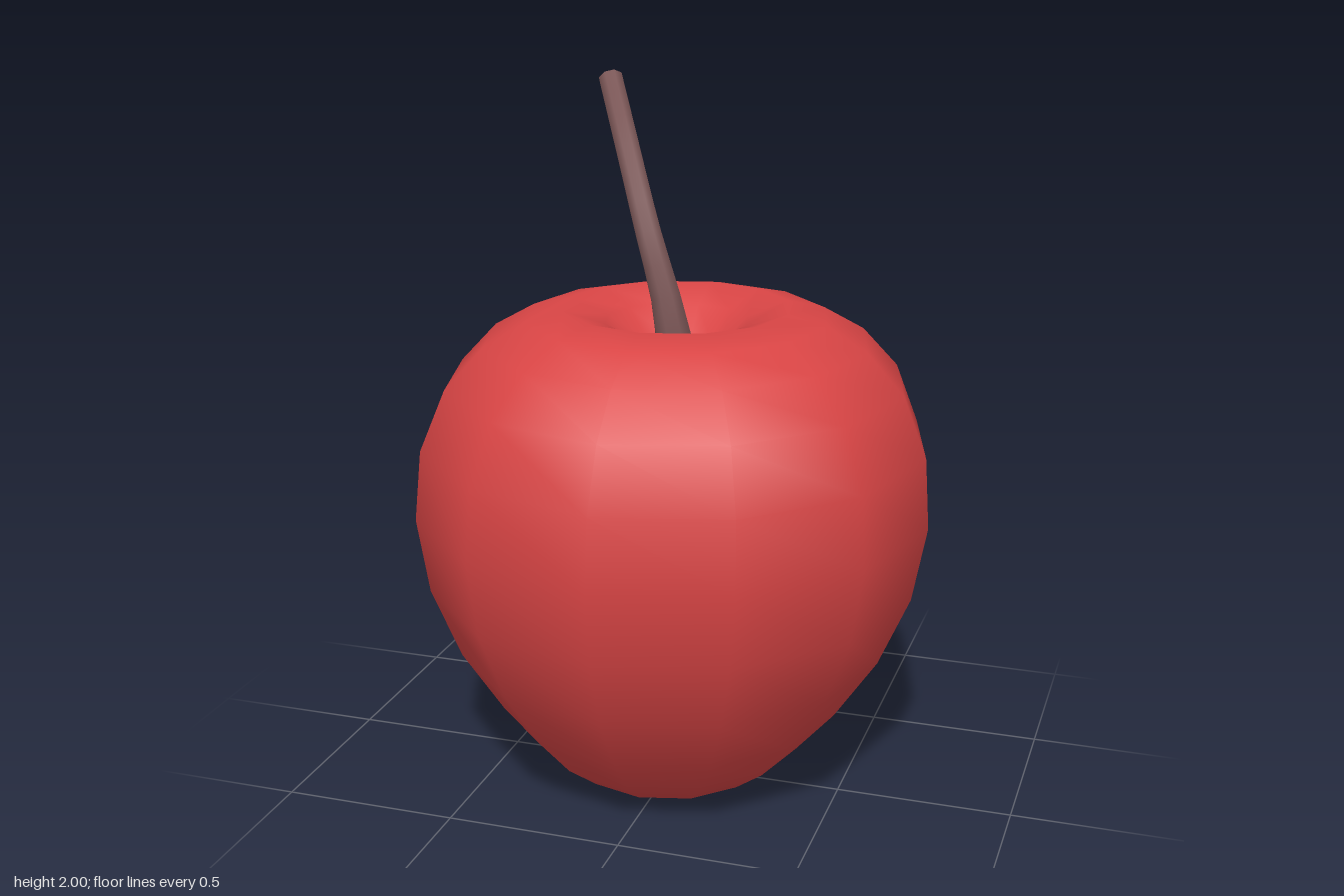
import * as THREE from 'three';

const material = (color) => new THREE.MeshStandardMaterial({ color });

// Twelve-sided lathed fruit with a dimple at each end, leaning slightly
function makeFruit() {
  const profile = [
    [0, 0.06], [0.06, 0.06], [0.12, 0.035], [0.19, 0], [0.285, 0.03], [0.385, 0.107],
    [0.492, 0.23], [0.61, 0.41], [0.695, 0.615], [0.731, 0.83], [0.714, 1.03],
    [0.645, 1.2], [0.54, 1.313], [0.423, 1.38], [0.315, 1.405], [0.2, 1.365],
    [0.13, 1.29], [0.09, 1.28], [0.045, 1.305], [0, 1.31],
  ].map(([r, y]) => new THREE.Vector2(r, y));
  const geometry = new THREE.LatheGeometry(profile, 12);
  const p = geometry.attributes.position;
  for (let i = 0; i < p.count; i++) {
    const lean = 0.02 * (p.getY(i) - 0.8);
    p.setX(i, p.getX(i) + lean);
    p.setZ(i, p.getZ(i) + lean * 0.6);
  }
  const fruit = new THREE.Mesh(geometry, material(0xd94545));
  fruit.name = 'fruit';
  return fruit;
}

// Curved stalk, flared at the base and closed by a flat tip
function makeStem() {
  const stem = new THREE.Group();
  stem.name = 'stem';
  const bark = material(0x7a5555);
  const path = new THREE.CatmullRomCurve3([
    [0.01, 1.25, 0], [-0.02, 1.4, -0.008], [-0.09, 1.6, -0.045],
    [-0.187, 1.8, -0.165], [-0.297, 1.974, -0.335],
  ].map((v) => new THREE.Vector3(...v)));
  const steps = 10, sides = 8, tipRadius = 0.036;

  const geometry = new THREE.TubeGeometry(path, steps, 1, sides);
  const p = geometry.attributes.position;
  const v = new THREE.Vector3();
  for (let i = 0; i < p.count; i++) {
    const t = Math.floor(i / (sides + 1)) / steps;
    const centre = path.getPointAt(t);
    const radius = tipRadius + 0.024 * (1 - t) ** 5;
    v.fromBufferAttribute(p, i).sub(centre).multiplyScalar(radius).add(centre);
    p.setXYZ(i, v.x, v.y, v.z);
  }
  const stalk = new THREE.Mesh(geometry, bark);
  stalk.name = 'stalk';

  // Tip shares the last ring of the tube
  const ring = [];
  for (let j = 0; j < sides; j++) {
    ring.push(new THREE.Vector3().fromBufferAttribute(p, steps * (sides + 1) + j));
  }
  const corners = [];
  const end = path.getPointAt(1);
  ring.forEach((a, j) => corners.push(end, a, ring[(j + 1) % sides]));
  const tipGeometry = new THREE.BufferGeometry().setFromPoints(corners);
  tipGeometry.computeVertexNormals();
  const tipMaterial = bark.clone();
  tipMaterial.side = THREE.DoubleSide;
  const tip = new THREE.Mesh(tipGeometry, tipMaterial);
  tip.name = 'stemTip';

  stem.add(stalk, tip);
  return stem;
}

export function createModel() {
  const apple = new THREE.Group();
  apple.name = 'apple';
  apple.add(makeFruit(), makeStem());
  return apple;
}
